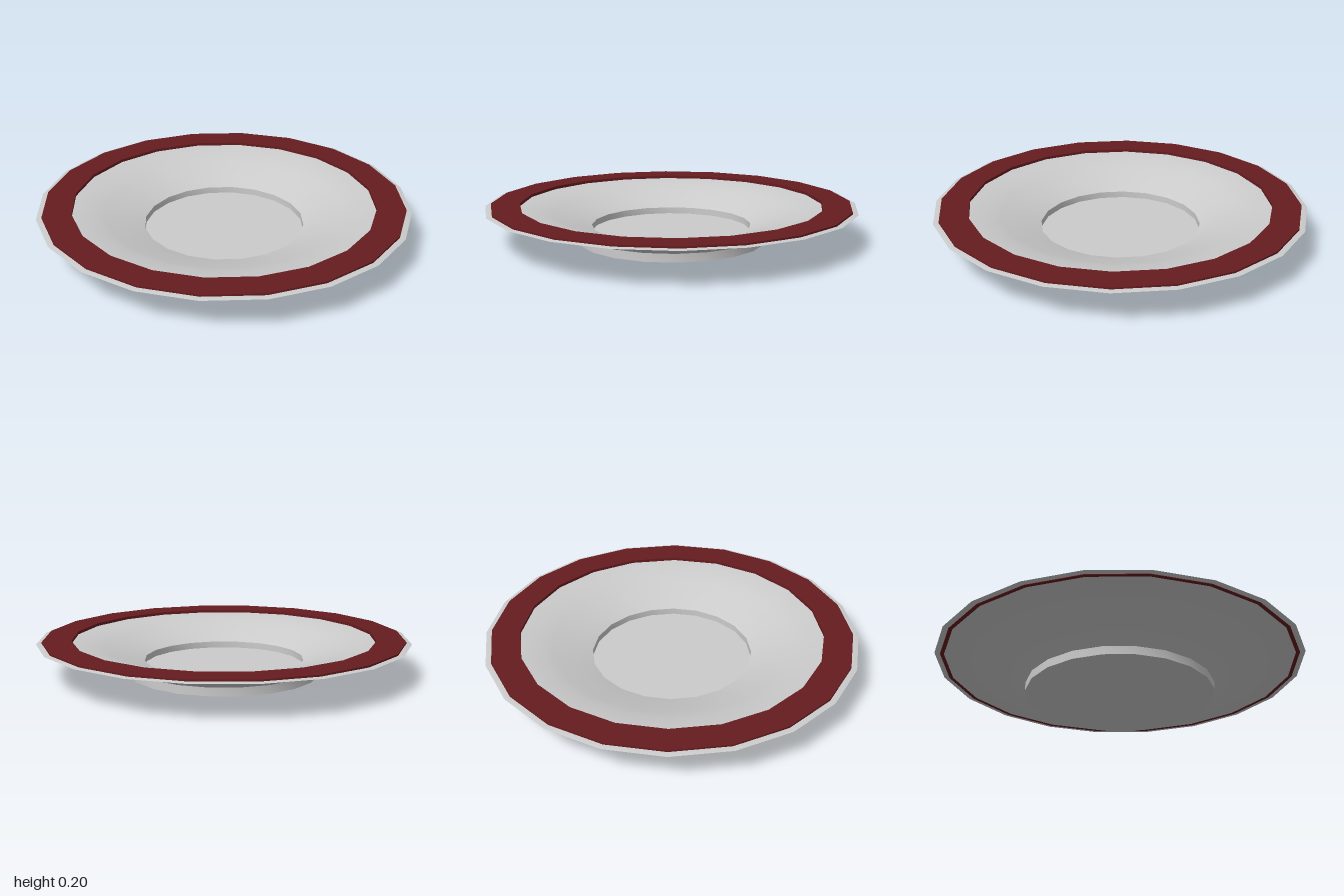
import * as THREE from 'three';
import { toCreasedNormals } from 'three/addons/utils/BufferGeometryUtils.js';

const SIDES = 20;

// Turned part from [radius, height] pairs, smooth around and sharp at steep edges
function turned(name, profile, color) {
  const points = profile.map(([r, y]) => new THREE.Vector2(r, y));
  const geometry = toCreasedNormals(new THREE.LatheGeometry(points, SIDES), 0.5);
  const mesh = new THREE.Mesh(geometry, new THREE.MeshStandardMaterial({ color }));
  mesh.name = name;
  return mesh;
}

export function createModel() {
  const plate = new THREE.Group();
  plate.name = 'plate';

  // Foot, flared underside, thin rim, then the dished top down to the floor
  plate.add(turned('dish', [
    [0, 0], [0.51, 0], [0.51, 0.045],
    [0.62, 0.1], [0.83, 0.16], [0.96, 0.184], [1, 0.187],
    [0.98, 0.191], [0.82, 0.185], [0.69, 0.165], [0.64, 0.15],
    [0.52, 0.113], [0.43, 0.08], [0.43, 0.045], [0, 0.045],
  ], 0xcccccc));

  // Flat coloured band laid into the rim
  plate.add(turned('rimBand', [
    [0.815, 0.182], [0.97, 0.182], [0.97, 0.2], [0.815, 0.2], [0.815, 0.182],
  ], 0x661c20));

  return plate;
}
